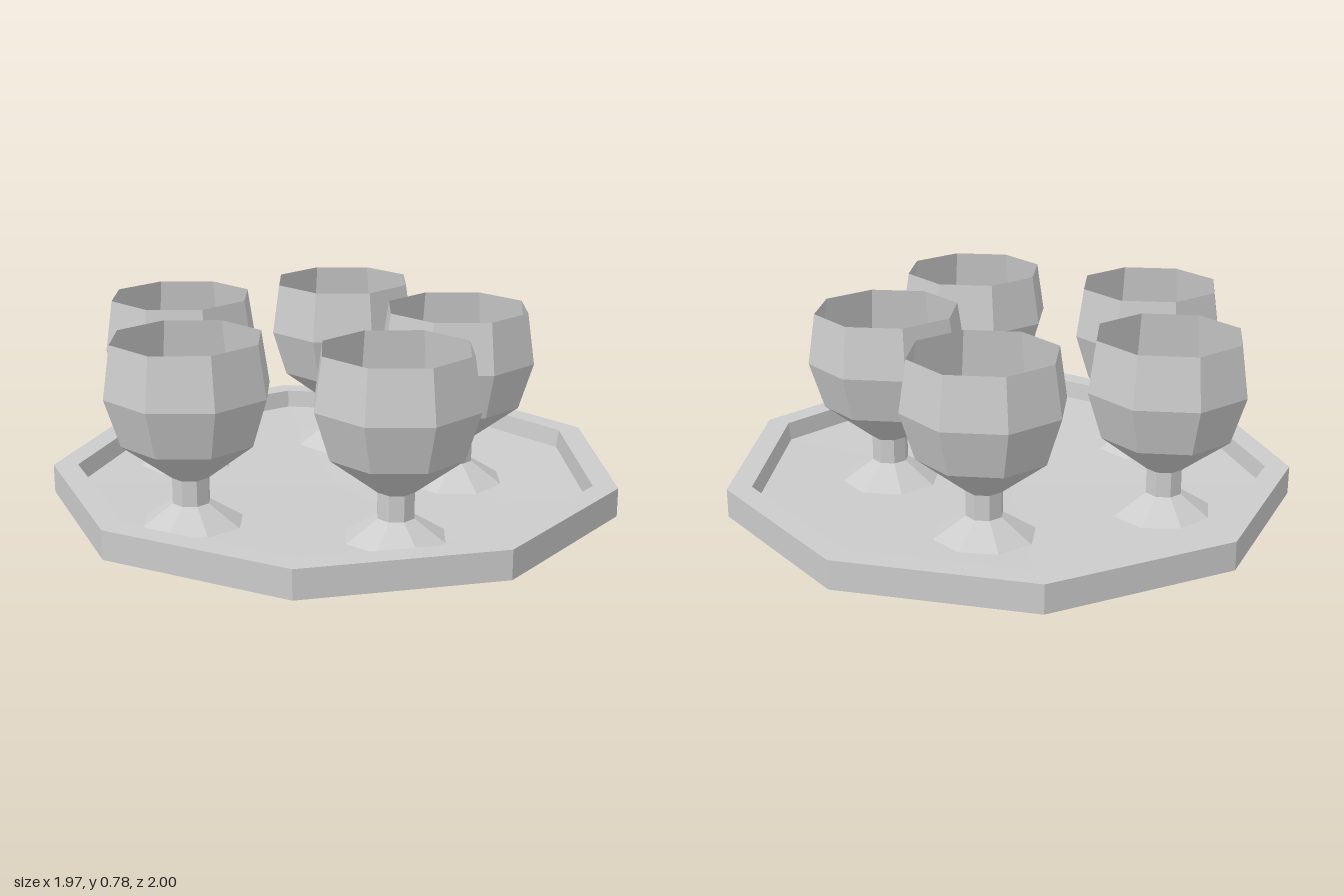
import * as THREE from 'three';

const material = new THREE.MeshStandardMaterial({
  color: 0xcccccc, flatShading: true, side: THREE.DoubleSide,
});

// Faceted solid of revolution from [radius, height] pairs
function turned(name, profile, sides, start = 0) {
  const points = profile.map(([r, y]) => new THREE.Vector2(r, y));
  const mesh = new THREE.Mesh(new THREE.LatheGeometry(points, sides, start), material);
  mesh.name = name;
  return mesh;
}

function createGoblet(x, z) {
  const goblet = new THREE.Group();
  goblet.name = 'goblet';
  goblet.add(
    turned('foot', [[0.18, 0.14], [0.065, 0.215]], 8),
    turned('stem', [[0.065, 0.215], [0.065, 0.305]], 8),
    turned('bowl', [[0.065, 0.305], [0.233, 0.435], [0.285, 0.6], [0.258, 0.78]], 8),
    // Surface of the drink
    turned('drink', [[0.285, 0.6], [0, 0.6]], 8),
  );
  goblet.position.set(x, 0, z);
  return goblet;
}

export function createModel() {
  const model = new THREE.Group();
  model.name = 'trayWithGoblets';

  // Nine-sided tray: bevelled underside, raised rim, slightly dished floor
  const tray = turned('tray', [
    [0, 0], [0.64, 0], [1.015, 0.115], [1.015, 0.217],
    [0.928, 0.217], [0.92, 0.15], [0, 0.125],
  ], 9, Math.PI / 2);
  tray.position.x = -0.031;
  model.add(tray);

  // Five goblets scattered over the tray
  const places = [[-0.47, -0.42], [0.178, -0.438], [0.373, 0.145], [-0.065, 0.59], [-0.638, 0.195]];
  for (const [x, z] of places) model.add(createGoblet(x, z));

  return model;
}
